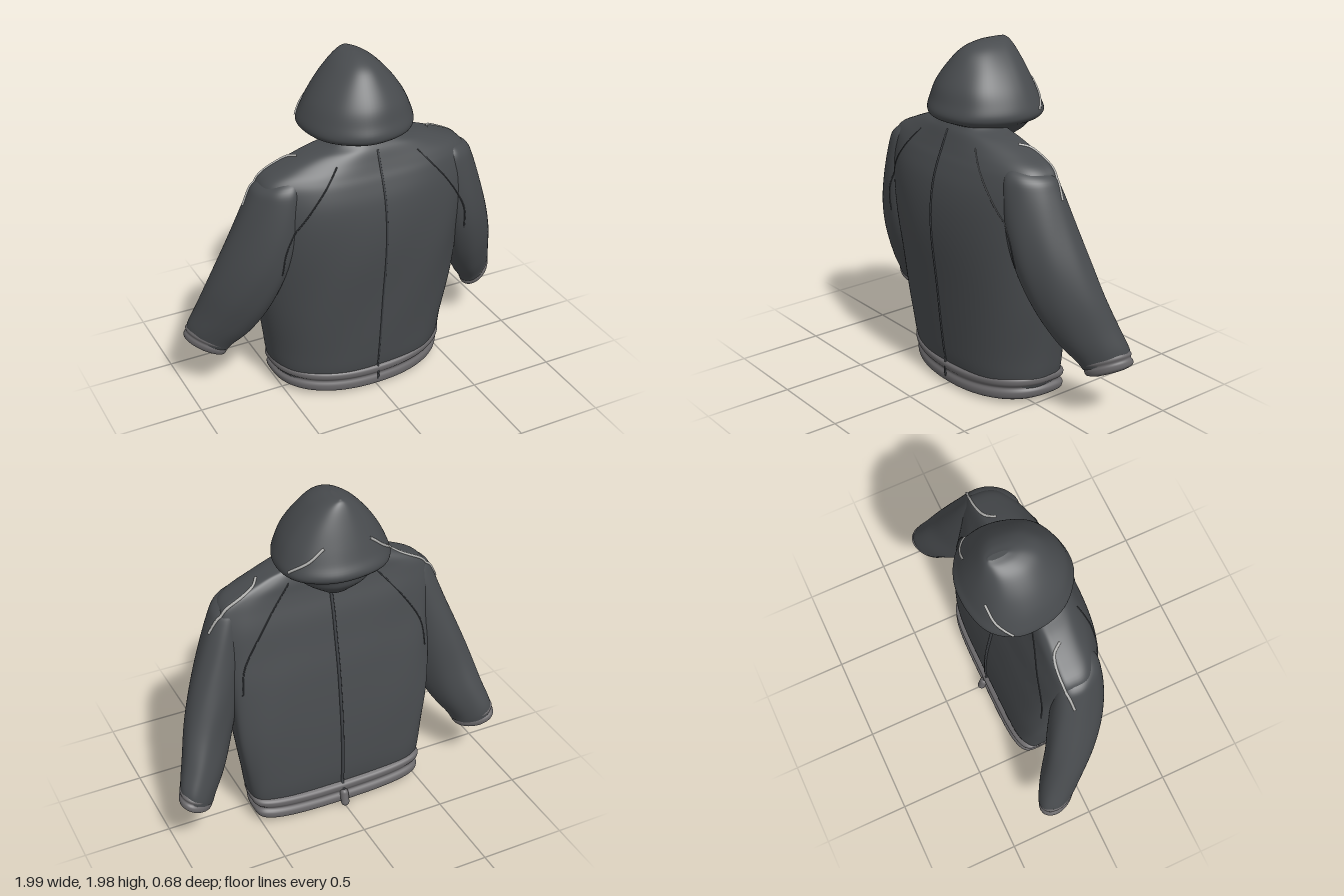
import * as THREE from 'three';

const cloth = new THREE.MeshStandardMaterial({ color: 0x484b4e });
const seamDark = new THREE.MeshStandardMaterial({ color: 0x3e4145 });
const knit = new THREE.MeshStandardMaterial({ color: 0x6b696b });
const piping = new THREE.MeshStandardMaterial({ color: 0xb4b4b2 });

// Closed loft through sections [cx, y, cz, rx, rz, tilt], listed bottom to top.
// Front and back halves of each ring are superellipses with their own exponent;
// skew moves the widest line forward or back, yaw slants the ring in plan.
function loft(name, material, sections,
  { front = 2, back = 2, skew = 0, yaw = 0, fold = 0, droop = 0, segs = 72, steps = 5 } = {}) {
  const curve = (pick) => new THREE.CatmullRomCurve3(
    sections.map((s) => new THREE.Vector3(...pick(s))), false, 'catmullrom', 0.5);
  const centre = curve((s) => [s[0], s[1], s[2]]);
  const size = curve((s) => [s[3], s[4], s[5]]);
  const rows = (sections.length - 1) * steps;
  const pos = [], idx = [];
  const addRing = (t) => {
    const c = centre.getPoint(t), r = size.getPoint(t);
    for (let j = 0; j < segs; j++) {
      const a = (j / segs) * Math.PI * 2, ca = Math.cos(a), sa = Math.sin(a);
      const n = sa > 0 ? front : back;
      const k = 1 + fold * Math.sin(a * 7 + c.y * 5) * Math.sin(c.y * 4 + a);
      const depth = r.y * (sa > 0 ? 1 - skew : 1 + skew);
      const dx = Math.sign(ca) * Math.abs(ca) ** (2 / n) * r.x * k;
      const dz = Math.sign(sa) * Math.abs(sa) ** (2 / n) * depth * k;
      pos.push(c.x + dx, c.y + r.z * dx + droop * dx * dx, c.z + skew * r.y + dz - yaw * dx);
    }
    return c;
  };
  for (let i = 0; i <= rows; i++) addRing(i / rows);
  for (let i = 0; i < rows; i++) {
    for (let j = 0; j < segs; j++) {
      const a = i * segs + j, b = i * segs + ((j + 1) % segs);
      idx.push(a, a + segs, b, b, a + segs, b + segs);
    }
  }
  // end caps with their own vertices, so the rims stay sharp
  for (const t of [0, 1]) {
    const start = pos.length / 3;
    const c = addRing(t);
    pos.push(c.x, c.y, c.z);
    for (let j = 0; j < segs; j++) {
      const a = start + j, b = start + ((j + 1) % segs);
      if (t) idx.push(b, a, start + segs);
      else idx.push(a, b, start + segs);
    }
  }
  const g = new THREE.BufferGeometry();
  g.setAttribute('position', new THREE.Float32BufferAttribute(pos, 3));
  g.setIndex(idx);
  g.computeVertexNormals();
  const mesh = new THREE.Mesh(g, material);
  mesh.name = name;
  return mesh;
}

// Section given by height, half width, front z and back z
const slice = ([y, w, zf, zb]) => [0, y, (zf + zb) / 2, w, (zf - zb) / 2, 0];

// Thin raised cord laid on the surface: points are projected along dir
function cord(name, material, targets, points, dir, radius) {
  const path = new THREE.CatmullRomCurve3(points.map((p) => new THREE.Vector3(...p)));
  const d = new THREE.Vector3(...dir);
  const hits = [];
  for (const p of path.getPoints(28)) {
    const ray = new THREE.Raycaster(p.addScaledVector(d, -3), d);
    const hit = ray.intersectObjects(targets, false)[0];
    if (hit) hits.push(hit.point);
  }
  const mesh = new THREE.Mesh(
    new THREE.TubeGeometry(new THREE.CatmullRomCurve3(hits), 56, radius, 6), material);
  mesh.name = name;
  return mesh;
}

export function createModel() {
  const jacket = new THREE.Group();
  jacket.name = 'hoodedJacket';

  // Torso: D-shaped in plan with a bowed front and a flat, square-cornered back
  const torso = loft('torso', cloth, [
    [0.09, 0.50, 0.225, -0.20], [0.18, 0.53, 0.25, -0.22], [0.32, 0.55, 0.268, -0.225],
    [0.60, 0.592, 0.30, -0.21], [0.90, 0.61, 0.333, -0.17], [1.10, 0.62, 0.338, -0.13],
    [1.25, 0.63, 0.322, -0.10], [1.36, 0.625, 0.29, -0.07], [1.42, 0.585, 0.265, -0.055],
    [1.47, 0.48, 0.245, -0.045], [1.52, 0.35, 0.225, -0.03], [1.555, 0.23, 0.205, -0.02],
    [1.61, 0.17, 0.17, -0.01],
  ].map(slice), { front: 2.3, back: 4.5, skew: -0.4, fold: 0.01, segs: 112 });

  // Hem: two soft rolls with a groove between them
  const hem = loft('hem', knit, [
    [0.012, 0.48, 0.215, -0.20], [0.03, 0.515, 0.243, -0.24], [0.065, 0.525, 0.248, -0.245],
    [0.092, 0.51, 0.238, -0.23], [0.115, 0.532, 0.254, -0.24], [0.143, 0.534, 0.256, -0.24],
    [0.158, 0.515, 0.235, -0.215],
  ].map(slice), { front: 2.3, back: 4.5, skew: -0.4, droop: 0.1, segs: 112, steps: 4 });

  // Hood: wide rim, peaked crown and a gathered underside behind the neck
  const hood = loft('hood', cloth, [
    [1.43, 0.06, -0.08, -0.17], [1.50, 0.17, 0.06, -0.24], [1.555, 0.25, 0.20, -0.26],
    [1.585, 0.30, 0.262, -0.315], [1.62, 0.317, 0.28, -0.333], [1.68, 0.3, 0.262, -0.308],
    [1.76, 0.262, 0.235, -0.279], [1.85, 0.2, 0.178, -0.245], [1.93, 0.125, 0.11, -0.212],
    [1.97, 0.065, 0.03, -0.19], [1.986, 0.015, -0.06, -0.17],
  ].map(slice), { front: 2.1, back: 2.2, skew: -0.15, fold: 0.008 });
  jacket.add(torso, hem, hood);

  // Sleeves and everything else that comes in pairs
  for (const s of [1, -1]) {
    const side = s > 0 ? 'left' : 'right';
    const mirror = (rows) => rows.map(([cx, y, cz, rx, rz, tilt]) => [cx * s, y, cz, rx, rz, tilt * s]);
    const flip = (pts) => pts.map(([x, y, z]) => [x * s, y, z]);

    const sleeve = loft(side + 'Sleeve', cloth, mirror([
      [0.875, 0.35, -0.175, 0.10, 0.108, 0.45], [0.862, 0.40, -0.16, 0.112, 0.12, 0.45],
      [0.80, 0.52, -0.10, 0.135, 0.142, 0.40], [0.73, 0.70, -0.025, 0.155, 0.158, 0.30],
      [0.66, 0.90, 0.03, 0.163, 0.168, 0.15], [0.60, 1.10, 0.065, 0.152, 0.16, 0.05],
      [0.55, 1.30, 0.085, 0.127, 0.135, 0], [0.53, 1.385, 0.09, 0.105, 0.11, -0.1],
      [0.50, 1.43, 0.09, 0.05, 0.06, -0.2],
    ]), { yaw: 0.4 * s, fold: 0.01 });
    const cuff = loft(side + 'Cuff', knit, mirror([
      [0.895, 0.305, -0.185, 0.075, 0.08, 0.45], [0.892, 0.318, -0.183, 0.1, 0.103, 0.45],
      [0.887, 0.342, -0.179, 0.104, 0.11, 0.45], [0.882, 0.36, -0.175, 0.099, 0.105, 0.45],
      [0.877, 0.375, -0.171, 0.107, 0.114, 0.45], [0.871, 0.39, -0.167, 0.105, 0.111, 0.45],
    ]), { yaw: 0.4 * s, steps: 4, segs: 48 });
    jacket.add(sleeve, cuff);

    // Shoulder and hood piping
    jacket.add(cord(side + 'ShoulderPiping', piping, [torso, sleeve],
      flip([[0.39, 2, 0.05], [0.43, 2, 0.0], [0.5, 2, -0.02], [0.6, 2, -0.02], [0.69, 2, 0.0]]),
      [0, -1, 0], 0.008));
    jacket.add(cord(side + 'HoodPiping', piping, [hood],
      flip([[1, 1.77, -0.25], [1, 1.7, -0.235], [1, 1.63, -0.17]]), [-s, 0, 0], 0.008));

    // Raglan seams, front and back
    for (const f of [1, -1]) {
      jacket.add(cord(side + (f > 0 ? 'Front' : 'Back') + 'RaglanSeam', seamDark, [torso, sleeve],
        flip([[0.24, 1.48, f], [0.42, 1.26, f], [0.54, 1.06, f], [0.565, 0.9, f]]), [0, 0, -f], 0.004));
    }
  }

  // Centre ridges and the small tab hanging at the back of the hem
  jacket.add(cord('frontCentreRidge', seamDark, [torso, hem], [[0, 0.06, 1], [0, 0.8, 1], [0, 1.53, 1]], [0, 0, -1], 0.006));
  jacket.add(cord('backCentreRidge', seamDark, [torso, hem], [[0, 0.06, -1], [0, 0.8, -1], [0, 1.42, -1]], [0, 0, 1], 0.01));
  const tab = new THREE.Mesh(new THREE.CapsuleGeometry(0.025, 0.06, 6, 14), knit);
  tab.name = 'backTab';
  tab.position.set(0, 0.062, -0.25);
  tab.rotation.x = 0.25;
  jacket.add(tab);

  return jacket;
}
